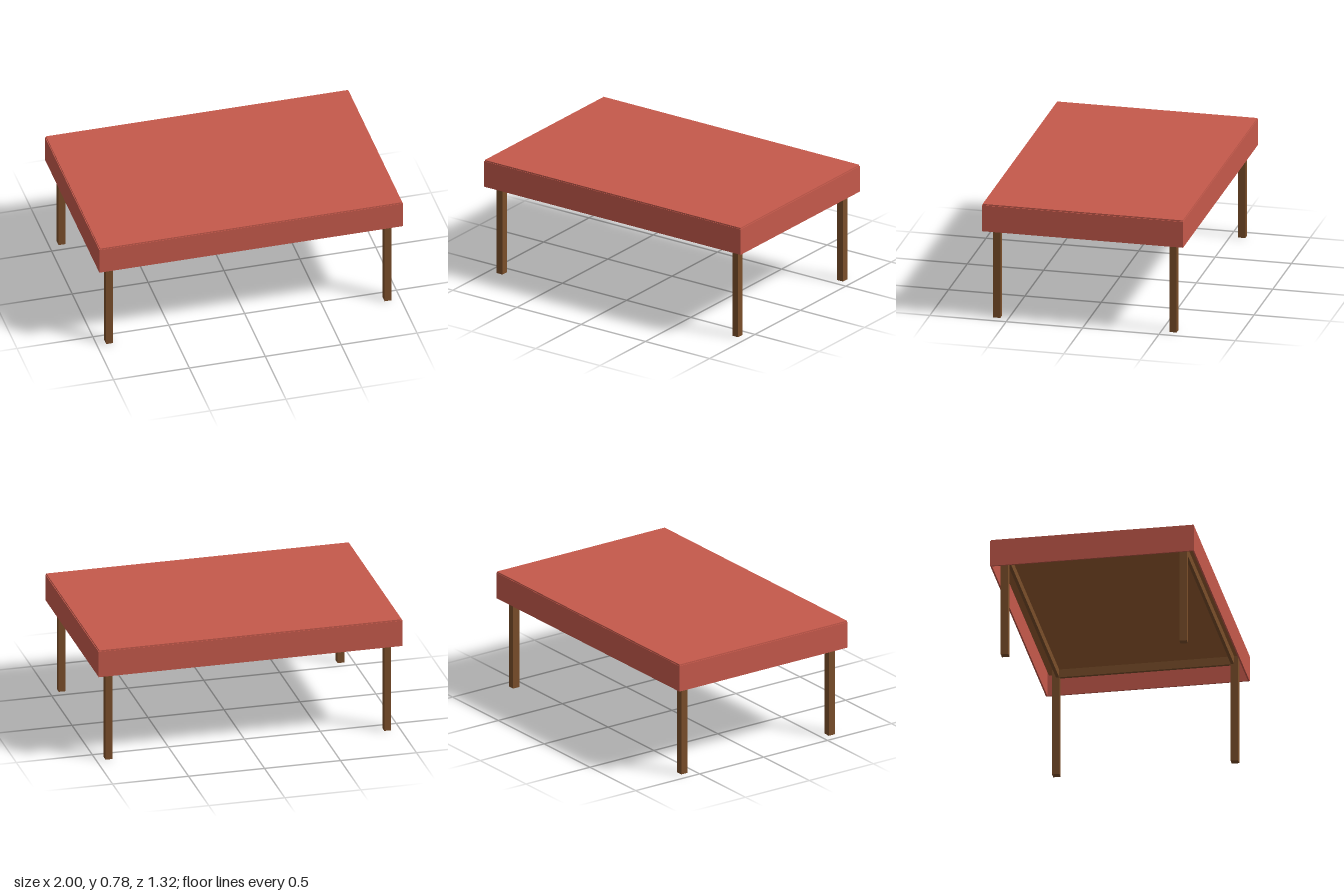
import * as THREE from 'three';

export function createModel() {
  const table = new THREE.Group();
  table.name = 'coveredTable';
  const material = (name, color) => {
    const m = new THREE.MeshStandardMaterial({ color });
    m.name = name;
    return m;
  };
  const wood = material('dark brown wood', 0x7a4e2a);
  const topWood = material('light brown wood', 0x985c30);
  const cloth = material('red cloth', 0xc5594b);

  // Box given by its size, centre x and z, and bottom height
  function box(name, material, [w, h, d], x, y, z) {
    const mesh = new THREE.Mesh(new THREE.BoxGeometry(w, h, d), material);
    mesh.name = name;
    mesh.position.set(x, y + h / 2, z);
    table.add(mesh);
  }

  // Wooden top under the cloth
  box('tableTop', topWood, [1.95, 0.032, 1.27], 0, 0.733, 0);

  // Cloth: flat sheet on top
  box('clothTop', cloth, [1.99, 0.016, 1.31], 0, 0.765, 0);

  for (const side of [-1, 1]) {
    // Cloth drops hanging on all four sides
    box('clothDropLong', cloth, [2, 0.174, 0.01], 0, 0.598, side * 0.653);
    box('clothDropShort', cloth, [0.01, 0.174, 1.296], side * 0.995, 0.598, 0);

    // Rails between the legs
    box('railLong', wood, [1.79, 0.055, 0.02], 0, 0.678, side * 0.565);
    box('railShort', wood, [0.02, 0.055, 1.11], side * 0.907, 0.678, 0);

    // Legs
    for (const end of [-1, 1]) {
      box('leg', wood, [0.045, 0.733, 0.048], side * 0.9175, 0, end * 0.577);
    }
  }
  return table;
}
